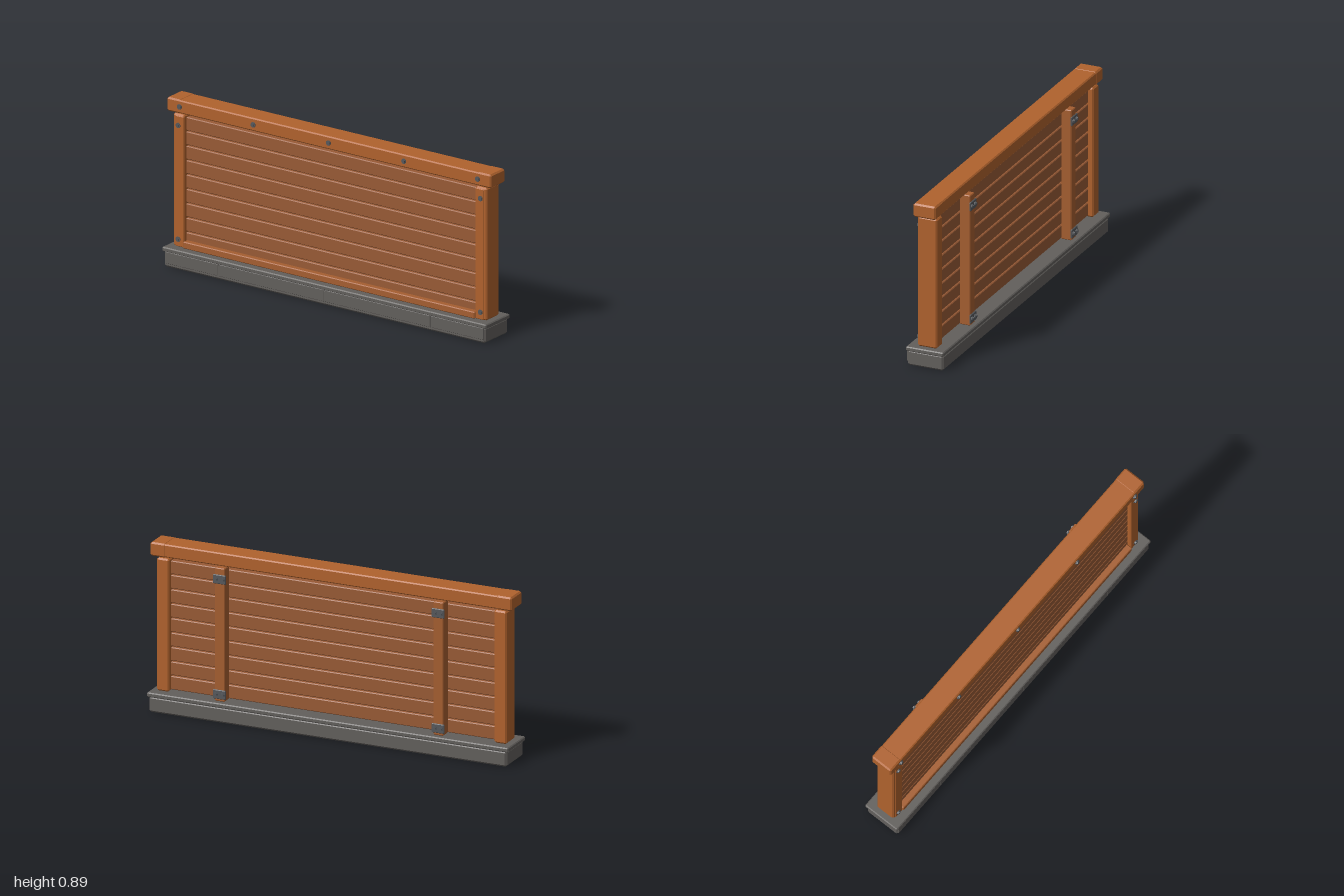
import * as THREE from 'three';
import { ConvexGeometry } from 'three/addons/geometries/ConvexGeometry.js';

const material = (name, color) => {
  const m = new THREE.MeshStandardMaterial({ color });
  m.name = name;
  return m;
};

// Box with chamfered edges, given by its extents on each axis
function chamferBox([x0, x1], [y0, y1], [z0, z1], c) {
  const hx = (x1 - x0) / 2, hy = (y1 - y0) / 2, hz = (z1 - z0) / 2;
  const points = [];
  for (const a of [-1, 1]) for (const b of [-1, 1]) for (const d of [-1, 1]) {
    points.push(
      new THREE.Vector3(a * hx, b * (hy - c), d * (hz - c)),
      new THREE.Vector3(a * (hx - c), b * hy, d * (hz - c)),
      new THREE.Vector3(a * (hx - c), b * (hy - c), d * hz));
  }
  return new ConvexGeometry(points).translate((x0 + x1) / 2, (y0 + y1) / 2, (z0 + z1) / 2);
}

export function createModel() {
  const model = new THREE.Group();
  model.name = 'fencePanel';
  const wood = material('orange wood', 0xb0622d);
  const plankWood = material('brown plank wood', 0x985a35);
  const battenWood = material('batten wood', 0xa55e30);
  const stone = material('grey stone', 0x625f5c);
  const metal = material('dark metal', 0x55585c);

  const add = (name, geometry, mat) => {
    const mesh = new THREE.Mesh(geometry, mat);
    mesh.name = name;
    model.add(mesh);
    return mesh;
  };
  const block = (name, x, y, z, c, mat) => add(name, chamferBox(x, y, z, c), mat);

  // Hexagonal bolt with a washer, facing the front (side 1) or the back (side -1)
  const bolt = (x, y, z, side, r = 0.014) => {
    for (const [name, radius, depth, sides] of [['washer', r, 0.005, 12], ['boltHead', r * 0.72, 0.01, 6]]) {
      const g = new THREE.CylinderGeometry(radius, radius, depth, sides).toNonIndexed();
      g.computeVertexNormals();
      g.rotateX(Math.PI / 2);
      add(name, g, metal).position.set(x, y, z + side * depth / 2);
    }
  };

  // Base with its coping and three-joint front facing
  block('baseBlock', [-0.99, 0.99], [0, 0.084], [-0.1, 0.1], 0.01, stone);
  block('baseCoping', [-1, 1], [0.08, 0.104], [-0.104, 0.104], 0.005, stone);
  const joints = [-0.985, -0.655, 0, 0.655, 0.985];
  for (let i = 0; i < 4; i++) {
    block('baseFacing', [joints[i] + 0.001, joints[i + 1] - 0.001], [0.02, 0.082], [0.095, 0.103], 0.002, stone);
  }

  // Horizontal planks with open gaps between them
  for (let i = 0; i < 9; i++) {
    const y = 0.11 + i * 0.0766;
    block('plank', [-0.91, 0.91], [y, y + 0.0705], [-0.026, 0.032], 0.004, plankWood);
  }
  block('bottomTrim', [-0.9, 0.9], [0.104, 0.14], [0.028, 0.064], 0.004, battenWood);

  for (const s of [-1, 1]) {
    const span = (a, b) => (s > 0 ? [a, b] : [-b, -a]);

    // End posts with a front cover strip
    block('post', span(0.9, 0.968), [0.104, 0.808], [-0.055, 0.053], 0.008, wood);
    block('postCover', span(0.9, 0.953), [0.106, 0.8], [0.045, 0.057], 0.003, wood);
    bolt(s * 0.933, 0.75, 0.056, 1);
    bolt(s * 0.933, 0.145, 0.056, 1);

    // Rear battens held by bolted brackets
    block('batten', span(0.578, 0.632), [0.108, 0.815], [-0.083, -0.024], 0.004, battenWood);
    for (const y of [0.146, 0.757]) {
      block('bracket', span(0.57, 0.64), [y - 0.024, y + 0.024], [-0.09, -0.081], 0.003, metal);
      for (const dx of [-0.018, 0.018]) bolt(s * 0.605 + dx, y, -0.089, -1, 0.012);
    }

    // Slightly larger end pieces of the top rail
    block('railEnd', span(0.915, 1), [0.816, 0.889], [-0.062, 0.063], 0.008, wood);
  }

  // Top rail and its row of front bolts
  block('topRail', [-0.985, 0.985], [0.818, 0.887], [-0.06, 0.063], 0.006, wood);
  for (const x of [-0.92, -0.465, 0, 0.465, 0.92]) bolt(x, 0.853, 0.063, 1);

  return model;
}
